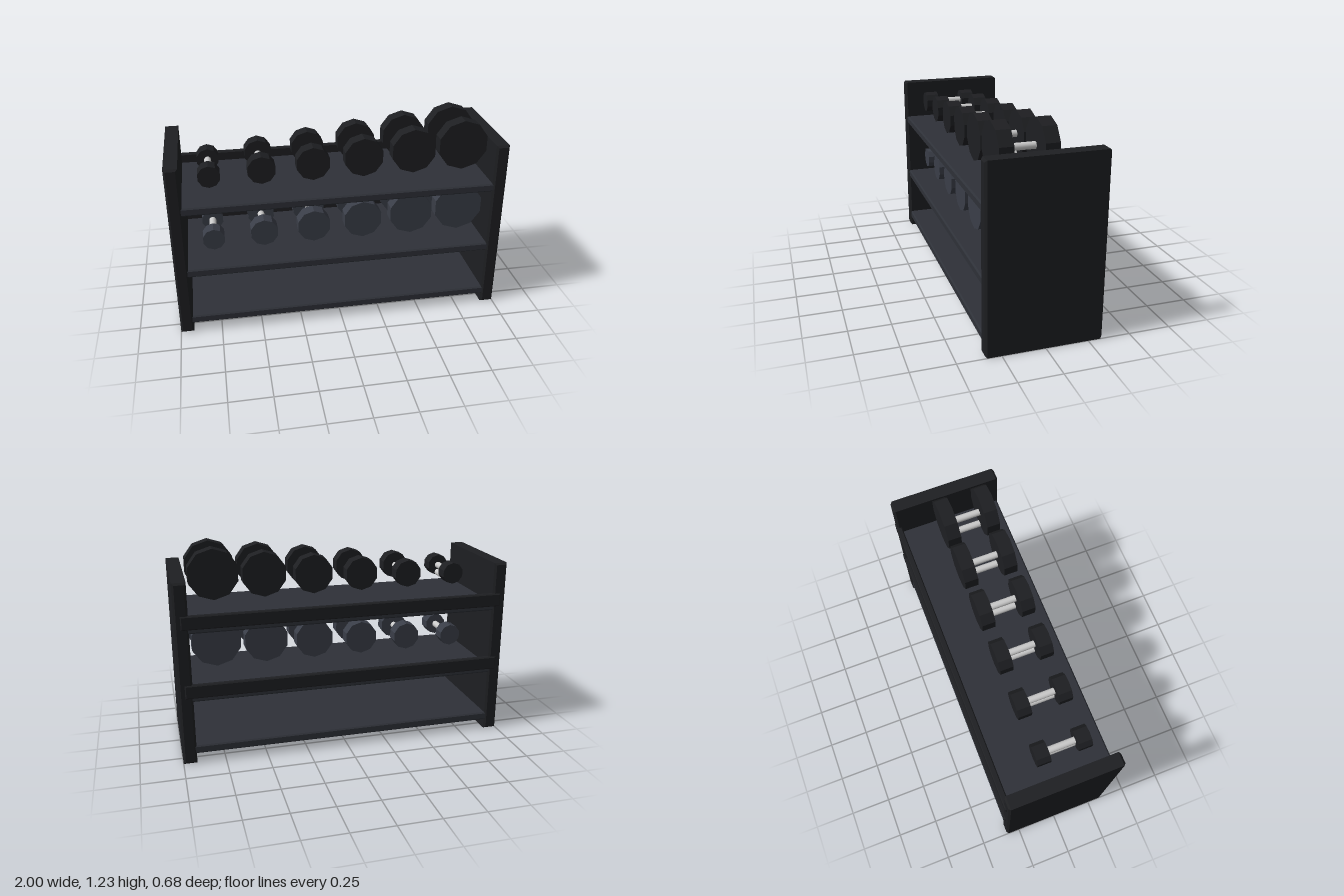
import * as THREE from 'three';

const material = (color, flatShading = false) => new THREE.MeshStandardMaterial({ color, flatShading });
const frameMat = material(0x1e1f22, true);
const shelfMat = material(0x2e3138, true);
const darkHeadMat = material(0x1e1f22, true);
const greyHeadMat = material(0x3a3e48, true);
const chromeMat = material(0xcccccc);

// Box with chamfered edges, given its full size and centre
function chamferBox(name, [w, h, d], [x, y, z], mat, c = 0.012) {
  const a = w / 2 - c, b = h / 2 - c;
  const shape = new THREE.Shape([
    new THREE.Vector2(-a, -b), new THREE.Vector2(a, -b),
    new THREE.Vector2(a, b), new THREE.Vector2(-a, b),
  ]);
  const geo = new THREE.ExtrudeGeometry(shape, {
    depth: d - 2 * c, bevelEnabled: true, bevelSize: c, bevelThickness: c, bevelSegments: 1,
  });
  geo.translate(0, 0, -d / 2 + c);
  const mesh = new THREE.Mesh(geo, mat);
  mesh.name = name;
  mesh.position.set(x, y, z);
  return mesh;
}

// Cylinder lying along z
function rod(name, radius, length, sides, y, z, mat) {
  const geo = new THREE.CylinderGeometry(radius, radius, length, sides).rotateX(Math.PI / 2);
  const mesh = new THREE.Mesh(geo, mat);
  mesh.name = name;
  mesh.position.set(0, y, z);
  return mesh;
}

// Two ten-sided heads joined by a chrome handle
function dumbbell(radius, headMat) {
  const group = new THREE.Group();
  group.name = 'dumbbell';
  group.add(
    rod('frontHead', radius, 0.082, 10, 0, 0.197, headMat),
    rod('backHead', radius, 0.082, 10, 0, -0.052, headMat),
    rod('handle', 0.021, 0.2, 12, 0, 0.0725, chromeMat),
  );
  return group;
}

export function createModel() {
  const model = new THREE.Group();
  model.name = 'dumbbellRack';

  // Side panels
  for (const s of [-1, 1]) {
    const name = s > 0 ? 'leftPanel' : 'rightPanel';
    model.add(chamferBox(name, [0.08, 1.095, 0.677], [s * 0.96, 0.5475, 0.004], frameMat));
  }

  // Shelves
  for (const y of [0.085, 0.413, 0.823]) {
    model.add(chamferBox('shelf', [1.87, 0.05, 0.665], [0, y, 0.004], shelfMat, 0.008));
  }

  // Rear stop rails
  for (const y of [0.454, 0.865]) {
    model.add(chamferBox('backRail', [1.93, 0.08, 0.035], [0, y, -0.324], frameMat, 0.006));
  }

  // Two rows of dumbbells growing in size
  const rows = [
    { name: 'lowerRow', base: 0.51, mat: greyHeadMat },
    { name: 'upperRow', base: 0.92, mat: darkHeadMat },
  ];
  for (const { name, base, mat } of rows) {
    const row = new THREE.Group();
    row.name = name;
    for (let i = 0; i < 6; i++) {
      const radius = 0.067 + i * 0.0172;
      const bell = dumbbell(radius, mat);
      bell.position.set(-0.755 + i * 0.301, base + radius, 0);
      row.add(bell);
      // Support bar under each handle of the upper row
      if (name === 'upperRow') {
        const bar = rod('supportBar', 0.021, 0.2, 12, base + 0.019, 0.0725, chromeMat);
        bar.position.x = bell.position.x;
        row.add(bar);
      }
    }
    model.add(row);
  }
  return model;
}
